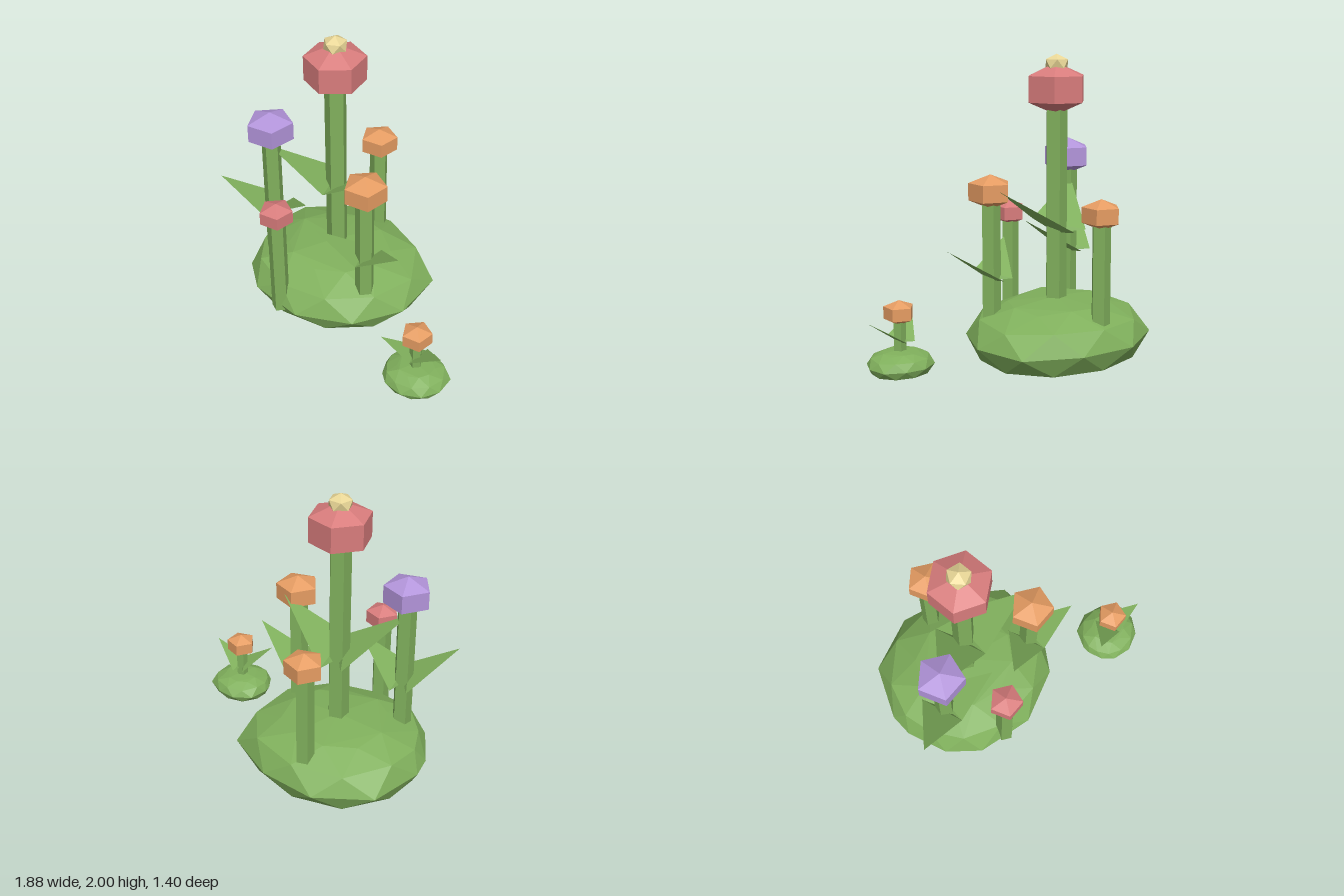
import * as THREE from 'three';
import { ConvexGeometry } from 'three/addons/geometries/ConvexGeometry.js';

const mat = (color) => new THREE.MeshStandardMaterial({ color, flatShading: true });
const green = mat(0x80b05c), red = mat(0xd87c7c), purple = mat(0xb294da);
const orange = mat(0xe59c62), yellow = mat(0xe8d696);

function mesh(name, geometry, material, x = 0, y = 0, z = 0) {
  const m = new THREE.Mesh(geometry, material);
  m.name = name;
  m.position.set(x, y, z);
  return m;
}

// Outline of the mound at its widest, around its own centre
const outline = [
  [0, -0.59], [0.37, -0.45], [0.66, -0.18], [0.62, 0.2], [0.38, 0.48],
  [0, 0.59], [-0.38, 0.48], [-0.55, 0.29], [-0.62, 0], [-0.6, -0.16], [-0.4, -0.49],
];

// Faceted mound: hull of stacked rings, every second ring staggered
function moundGeometry() {
  const pts = [new THREE.Vector3(0, 0.39, 0)];
  const ring = (scale, y, stagger) => outline.forEach(([x, z], i) => {
    const [nx, nz] = outline[(i + 1) % outline.length];
    const px = stagger ? (x + nx) / 2 : x, pz = stagger ? (z + nz) / 2 : z;
    pts.push(new THREE.Vector3(px * scale, y + 0.012 * Math.sin(i * 2.3) * (y > 0.2), pz * scale));
  });
  ring(0.9, 0, true);
  ring(1, 0.135, false);
  ring(0.91, 0.27, true);
  ring(0.55, 0.355, false);
  return new ConvexGeometry(pts);
}

// Leaf: a thin tapering wedge, side = 1 or -1 picks the direction
function leafGeometry(side) {
  const pts = [[0.305, 0.23, 0.115], [0, 0.055, 0.135], [0.05, 0.022, -0.14], [0, 0, 0]];
  return new ConvexGeometry(pts.map(([x, y, z]) => new THREE.Vector3(x * side, y, z)));
}

// Bud: a prism with shallow pyramids above and below
function budGeometry(radius, half, sides) {
  const profile = [[0, -half], [radius, -half / 2], [radius, half / 2], [0, half]];
  return new THREE.LatheGeometry(profile.map(([r, y]) => new THREE.Vector2(r, y)), sides, Math.PI);
}

function flower({ name, x, z, base, stemR, budY, budR, budHalf, material, sides = 5, leafY, leafScale }) {
  const g = new THREE.Group();
  g.name = name;
  g.position.set(x, 0, z);
  const h = budY - base;
  g.add(mesh('stem', new THREE.CylinderGeometry(stemR, stemR, h, 5), green, 0, base + h / 2, 0));
  g.add(mesh('bud', budGeometry(budR, budHalf, sides), material, 0, budY, 0));
  if (leafScale) for (const side of [1, -1]) {
    const leaf = mesh(side > 0 ? 'leftLeaf' : 'rightLeaf', leafGeometry(side), green, 0, leafY, 0);
    leaf.scale.setScalar(leafScale);
    g.add(leaf);
  }
  return g;
}

export function createModel() {
  const model = new THREE.Group();
  model.name = 'flowerMounds';

  // Mounds
  model.add(mesh('largeMound', moundGeometry(), green, -0.2, 0, -0.11));
  const small = mesh('smallMound', moundGeometry(), green, 0.715, 0, 0.485);
  small.scale.set(0.34, 0.37, 0.356);
  model.add(small);

  // Flowers
  const flowers = [
    { name: 'tallFlower', x: -0.2, z: -0.097, base: 0.1, stemR: 0.074, budY: 1.775, budR: 0.2, budHalf: 0.17,
      material: red, sides: 6, leafY: 0.82, leafScale: 1.38 },
    { name: 'purpleFlower', x: -0.6, z: 0.07, base: 0.1, stemR: 0.066, budY: 1.285, budR: 0.156, budHalf: 0.125,
      material: purple, leafY: 0.605, leafScale: 1.11 },
    { name: 'frontOrangeFlower', x: 0.165, z: 0.17, base: 0.1, stemR: 0.066, budY: 1.12, budR: 0.143, budHalf: 0.113,
      material: orange, leafY: 0.53, leafScale: 1 },
    { name: 'backOrangeFlower', x: -0.1, z: -0.51, base: 0.1, stemR: 0.064, budY: 1.0, budR: 0.127, budHalf: 0.1,
      material: orange },
    { name: 'smallRedFlower', x: -0.365, z: 0.4, base: 0.085, stemR: 0.063, budY: 0.885, budR: 0.112, budHalf: 0.088,
      material: red },
    { name: 'smallOrangeFlower', x: 0.715, z: 0.487, base: 0.05, stemR: 0.042, budY: 0.387, budR: 0.1, budHalf: 0.08,
      material: orange, leafY: 0.19, leafScale: 0.695 },
  ];
  flowers.forEach((f) => model.add(flower(f)));

  // Tip on the tallest bud
  const tip = new THREE.IcosahedronGeometry(0.084).rotateZ(Math.atan(2 / (1 + Math.sqrt(5))));
  tip.scale(1, 0.75, 1);
  model.add(mesh('flowerTip', tip, yellow, -0.2, 1.937, -0.1));

  return model;
}
